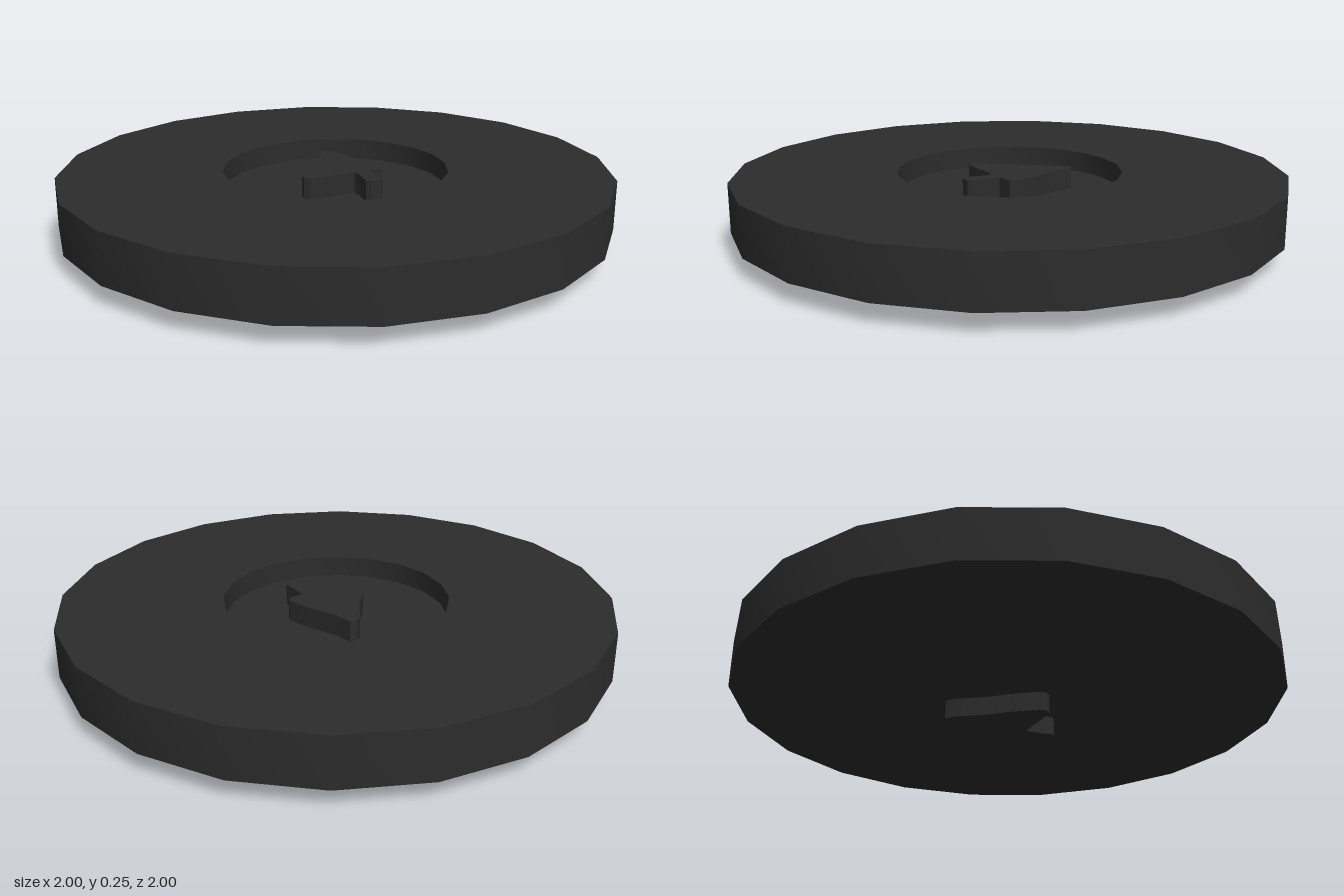
import * as THREE from 'three';
import { toCreasedNormals } from 'three/addons/utils/BufferGeometryUtils.js';

const SIDES = 20;
const BOTTOM = 0.07, FLOOR = 0.173, TOP = 0.25;

export function createModel() {
  const group = new THREE.Group();
  group.name = 'disc';
  const material = new THREE.MeshStandardMaterial({ color: 0x2c2c2c });

  function add(name, geometry) {
    const mesh = new THREE.Mesh(toCreasedNormals(geometry, 0.6), material);
    mesh.name = name;
    group.add(mesh);
  }

  // Flat disc with a round recess in its top
  const profile = [
    [0, BOTTOM], [1, BOTTOM], [1, TOP],
    [0.41, TOP], [0.41, FLOOR], [0, FLOOR],
  ].map(([r, y]) => new THREE.Vector2(r, y));
  add('recessedDisc', new THREE.LatheGeometry(profile, SIDES));

  // Arrow that rises from the recess and stands out below the disc (x, z)
  const outline = [
    [0.07, -0.22], [0.04, -0.2], [-0.03, -0.1], [-0.09, -0.04],
    [-0.155, 0.045], [-0.16, 0.075], [-0.145, 0.092], [0.03, 0.092],
    [0.037, 0.11], [0.022, 0.2], [0.035, 0.212], [0.075, 0.215],
    [0.087, 0.2], [0.087, 0.092], [0.15, 0.087], [0.16, 0.065],
    [0.145, -0.01], [0.1, -0.14], [0.09, -0.21],
  ].map(([x, z]) => new THREE.Vector2(x, -z));
  const arrow = new THREE.ExtrudeGeometry(new THREE.Shape(outline), {
    depth: TOP, bevelEnabled: false,
  });
  arrow.rotateX(-Math.PI / 2);
  add('arrow', arrow);

  return group;
}
